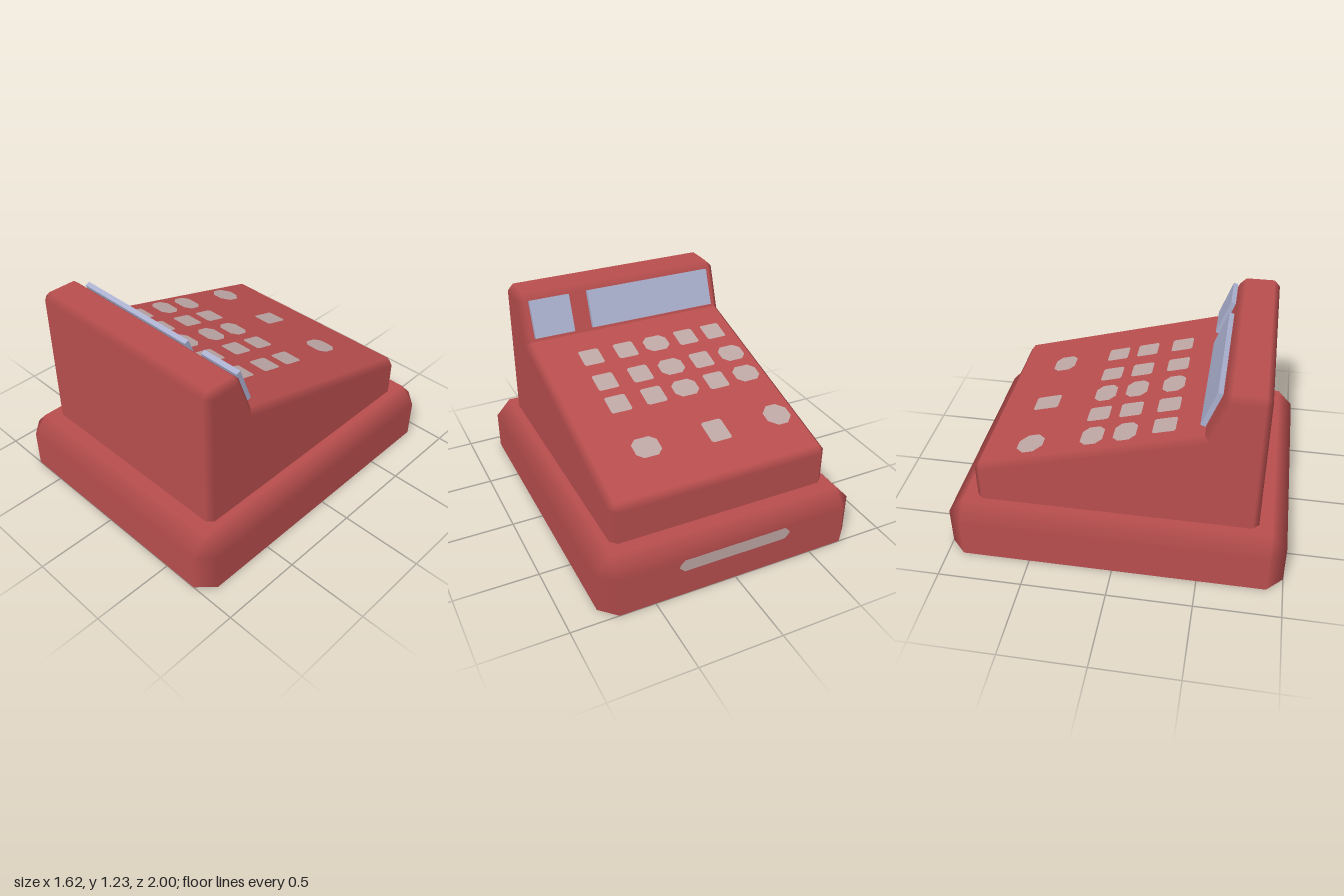
import * as THREE from 'three';

const makeMaterial = (name, color, side = THREE.FrontSide) => {
  const m = new THREE.MeshStandardMaterial({ color, side });
  m.name = name;
  return m;
};

// Joins rings of { p, n } points with quads; `caps` lists [ring, axisA, axisB] to fill.
// Bevel corners carry the normals of the large faces, so only the bevels shade smoothly.
function loft(rings, closed, caps) {
  const size = rings[0].length;
  const points = rings.flat();
  const index = [];
  const addTriangle = (...ids) => {
    const [a, b, c] = ids.map((i) => points[i].p);
    const face = b.clone().sub(a).cross(c.clone().sub(a));
    if (face.length() < 1e-7) return;
    const sum = new THREE.Vector3();
    ids.forEach((i) => sum.add(points[i].n));
    if (face.dot(sum) < 0) ids.reverse();
    index.push(...ids);
  };
  for (let r = 0; r < rings.length - 1; r++) {
    for (let i = 0; i < (closed ? size : size - 1); i++) {
      const j = (i + 1) % size;
      const a = r * size + i, b = r * size + j;
      addTriangle(a, b, b + size);
      addTriangle(a, b + size, a + size);
    }
  }
  for (const [ring, u, v] of caps) {
    // Repeated corners are skipped before filling the cap
    const ids = rings[ring].map((_, i) => i).filter((i) =>
      i === 0 || rings[ring][i].p.distanceTo(rings[ring][i - 1].p) > 1e-6);
    const outline = ids.map((i) => new THREE.Vector2(rings[ring][i].p[u], rings[ring][i].p[v]));
    for (const t of THREE.ShapeUtils.triangulateShape(outline, [])) {
      addTriangle(...t.map((k) => ring * size + ids[k]));
    }
  }
  const g = new THREE.BufferGeometry();
  g.setAttribute('position', new THREE.Float32BufferAttribute(points.flatMap((q) => q.p.toArray()), 3));
  g.setAttribute('normal', new THREE.Float32BufferAttribute(points.flatMap((q) => q.n.toArray()), 3));
  g.setIndex(index);
  return g;
}

const V = (x, y, z) => new THREE.Vector3(x, y, z);

// Bevelled tray, open underneath
function baseGeometry() {
  const X = 0.81, Z = 1, bevel = 0.095;
  const wall = [], top = [];
  for (const [sx, sz] of [[1, 1], [1, -1], [-1, -1], [-1, 1]]) {
    const pair = [
      { p: V(sx * (X - bevel), 0, sz * Z), n: V(0, 0, sz) },
      { p: V(sx * X, 0, sz * (Z - bevel)), n: V(sx, 0, 0) },
    ];
    if (sx !== sz) pair.reverse();
    wall.push(...pair);
    const corner = { p: V(sx * (X - bevel), 0.343, sz * (Z - bevel)), n: V(0, 1, 0) };
    top.push(corner, corner);
  }
  const raised = wall.map(({ p, n }) => ({ p: V(p.x, 0.24, p.z), n }));
  return loft([wall, raised, top], true, [[2, 'x', 'z']]);
}

// Sloped housing: side profile with bevelled flanks
function bodyGeometry() {
  const front = [0, 1], up = [1, 0], panel = [0.351, -0.936], desk = [0.963, -0.269], back = [0, -1];
  // each row: z, y, normal (y, z), inset z, inset y
  const profile = [
    [0.83, 0.343, front, 0.795, 0.343],
    [0.83, 1.19, front, 0.795, 1.19],
    [0.795, 1.23, up, 0.795, 1.19],
    [0.62, 1.23, up, 0.613, 1.19],
    [0.58, 1.19, panel, 0.613, 1.19],
    [0.49, 0.95, panel, 0.516, 0.92],
    [0.49, 0.95, desk, 0.516, 0.92],
    [-0.80, 0.59, desk, -0.795, 0.553],
    [-0.83, 0.545, back, -0.795, 0.553],
    [-0.83, 0.343, back, -0.795, 0.343],
  ];
  const outer = (x) => profile.map(([z, y, n]) => ({ p: V(x, y, z), n: V(0, n[0], n[1]) }));
  const flank = (s) => profile.map((r) => ({ p: V(s * 0.68, r[4], r[3]), n: V(s, 0, 0) }));
  return loft([flank(-1), outer(-0.643), outer(0.643), flank(1)], false, [[0, 'z', 'y'], [3, 'z', 'y']]);
}

// Flat plate with cut corners
function plateGeometry(w, h, cut) {
  const a = w / 2, b = h / 2;
  return new THREE.ShapeGeometry(new THREE.Shape([
    [a - cut, -b], [a, cut - b], [a, b - cut], [a - cut, b],
    [cut - a, b], [-a, b - cut], [-a, cut - b], [cut - a, -b],
  ].map(([x, y]) => new THREE.Vector2(x, y))));
}

export function createModel() {
  const red = makeMaterial('red casing', 0xb94e4e, THREE.DoubleSide);
  const grey = makeMaterial('pale grey', 0xbfa8a6);
  const blue = makeMaterial('pale blue display', 0xacb1d0);

  const model = new THREE.Group();
  model.name = 'cashRegister';
  const add = (name, geometry, material, parent = model) => {
    const mesh = new THREE.Mesh(geometry, material);
    mesh.name = name;
    parent.add(mesh);
    return mesh;
  };

  add('drawerBase', baseGeometry(), red);
  add('housing', bodyGeometry(), red);

  // Two display panels on the steep face
  for (const [name, x0, x1] of [['wideDisplay', -0.605, 0.24], ['smallDisplay', 0.363, 0.62]]) {
    const display = add(name, new THREE.BoxGeometry(x1 - x0, 0.235, 0.03), blue);
    display.position.set((x0 + x1) / 2, 1.09, 0.515);
    display.rotation.x = Math.atan2(0.09, 0.24);
  }

  // Keys lying on the gentle slope
  const keys = new THREE.Group();
  keys.name = 'keys';
  model.add(keys);
  const slope = 0.36 / 1.29, tilt = Math.atan(slope);
  const addKey = (x, z, w, d, cut) => {
    const key = add('key', plateGeometry(w, d / Math.cos(tilt), cut), grey, keys);
    key.position.set(x, 0.95 + (z - 0.49) * slope + 0.004, z);
    key.rotation.x = -Math.PI / 2 - tilt;
  };
  for (const z of [-0.15, 0.04, 0.26]) {
    addKey(z > 0.2 ? -0.512 : -0.527, z, z > 0.2 ? 0.13 : 0.16, 0.13, z > 0.2 ? 0.01 : 0.035);
    addKey(-0.315, z, 0.132, 0.13, 0.012);
    addKey(-0.103, z, 0.16, 0.13, 0.035);
    addKey(0.108, z, 0.132, 0.13, 0.012);
    addKey(0.338, z, 0.132, 0.13, 0.01);
  }
  addKey(-0.53, -0.515, 0.16, 0.155, 0.048);
  addKey(-0.12, -0.515, 0.132, 0.155, 0.012);
  addKey(0.32, -0.503, 0.16, 0.14, 0.035);

  // Drawer pull on the back wall
  const pull = add('drawerPull', plateGeometry(0.7, 0.076, 0.03), grey);
  pull.position.set(0.005, 0.203, -1.002);
  pull.rotation.y = Math.PI;

  return model;
}
